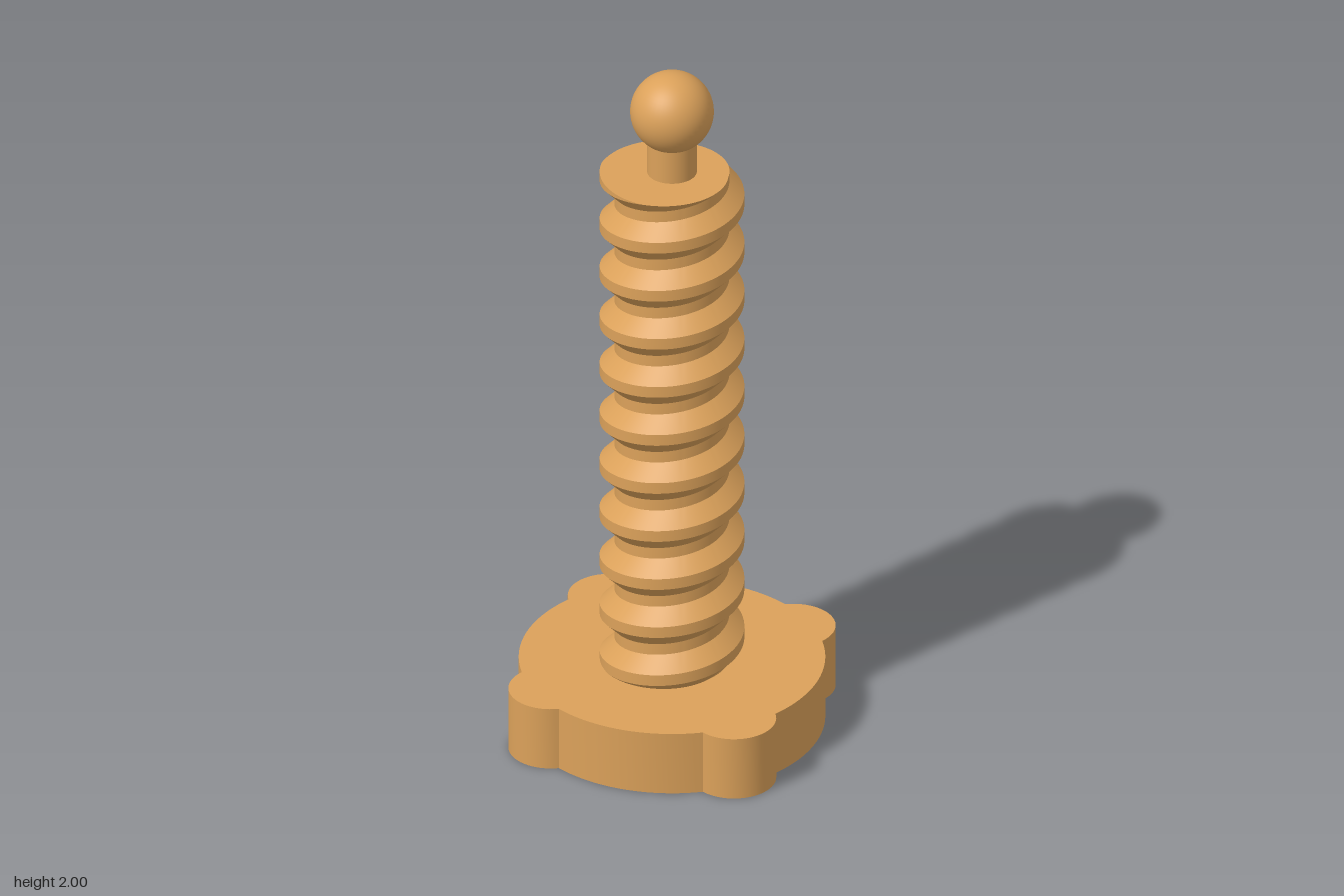
import * as THREE from 'three';
import { toCreasedNormals } from 'three/addons/utils/BufferGeometryUtils.js';

const TOP = 1.7, BOTTOM = 0.17, PITCH = 0.15;
const ROOT = 0.155, CREST = 0.195;
// Half widths along the axis of the crest flat, and of crest plus flank
const FLAT = 0.0165, FOOT = 0.0585;

// Right-handed trapezoidal thread, built as columns of profile points clamped to the shaft ends
function threadGeometry(segments = 96) {
  const crestY = (a) => TOP + PITCH * (a / (2 * Math.PI) - 0.5);
  const radius = (a, y) => {
    const d = y - crestY(a);
    const off = Math.abs(d - PITCH * Math.round(d / PITCH));
    const t = THREE.MathUtils.clamp((FOOT - off) / (FOOT - FLAT), 0, 1);
    return ROOT + (CREST - ROOT) * t;
  };
  const point = (a, y) => {
    const r = radius(a, y);
    return new THREE.Vector3(r * Math.cos(a), y, -r * Math.sin(a));
  };
  const column = (a) => {
    const pts = [];
    for (let k = -12; k <= 1; k++) {
      for (const d of [-FOOT, -FLAT, FLAT, FOOT]) {
        pts.push(point(a, THREE.MathUtils.clamp(crestY(a) + k * PITCH + d, BOTTOM, TOP)));
      }
    }
    return pts;
  };
  const pos = [];
  const tri = (a, b, c) => {
    const area = b.clone().sub(a).cross(c.clone().sub(a)).length();
    if (area > 1e-9) for (const p of [a, b, c]) pos.push(p.x, p.y, p.z);
  };
  const topCentre = new THREE.Vector3(0, TOP, 0);
  const bottomCentre = new THREE.Vector3(0, BOTTOM, 0);
  for (let i = 0; i < segments; i++) {
    const a0 = (i / segments) * 2 * Math.PI, a1 = ((i + 1) / segments) * 2 * Math.PI;
    const c0 = column(a0), c1 = column(a1);
    for (let j = 0; j < c0.length - 1; j++) {
      tri(c0[j], c1[j], c1[j + 1]);
      tri(c0[j], c1[j + 1], c0[j + 1]);
    }
    tri(topCentre, point(a0, TOP), point(a1, TOP));
    tri(bottomCentre, point(a1, BOTTOM), point(a0, BOTTOM));
  }
  const geometry = new THREE.BufferGeometry();
  geometry.setAttribute('position', new THREE.Float32BufferAttribute(pos, 3));
  return toCreasedNormals(geometry, 0.5);
}

// Round knob outline with four grip lobes
function knobGeometry(height) {
  const disc = 0.413, lobe = 0.114, offset = 0.367;
  const x = (disc ** 2 - lobe ** 2 + offset ** 2) / (2 * offset);
  const z = Math.sqrt(disc ** 2 - x ** 2);
  const lobeAngle = Math.atan2(z, x - offset), discAngle = Math.atan2(z, x);
  const outline = [];
  const arc = (cx, cy, r, from, to, n) => {
    for (let i = 0; i < n; i++) {
      const a = from + ((to - from) * i) / n;
      outline.push(new THREE.Vector2(cx + r * Math.cos(a), cy + r * Math.sin(a)));
    }
  };
  for (let q = 0; q < 4; q++) {
    const t = (q * Math.PI) / 2;
    arc(offset * Math.cos(t), offset * Math.sin(t), lobe, t - lobeAngle, t + lobeAngle, 24);
    arc(0, 0, disc, t + discAngle, t + Math.PI / 2 - discAngle, 20);
  }
  const geometry = new THREE.ExtrudeGeometry(new THREE.Shape(outline), { depth: height, bevelEnabled: false });
  geometry.rotateX(-Math.PI / 2);
  return toCreasedNormals(geometry, 0.4);
}

export function createModel() {
  const group = new THREE.Group();
  group.name = 'ballEndedScrew';
  const material = new THREE.MeshStandardMaterial({ color: 0xdba15a });
  material.name = 'warm tan';

  const add = (name, geometry, y = 0) => {
    const mesh = new THREE.Mesh(geometry, material);
    mesh.name = name;
    mesh.position.y = y;
    group.add(mesh);
  };

  add('knob', knobGeometry(0.185));
  add('threadedShaft', threadGeometry());
  add('neck', new THREE.CylinderGeometry(0.067, 0.067, 0.14, 48), 1.76);
  add('ball', new THREE.SphereGeometry(0.113, 48, 32), 1.887);
  return group;
}
